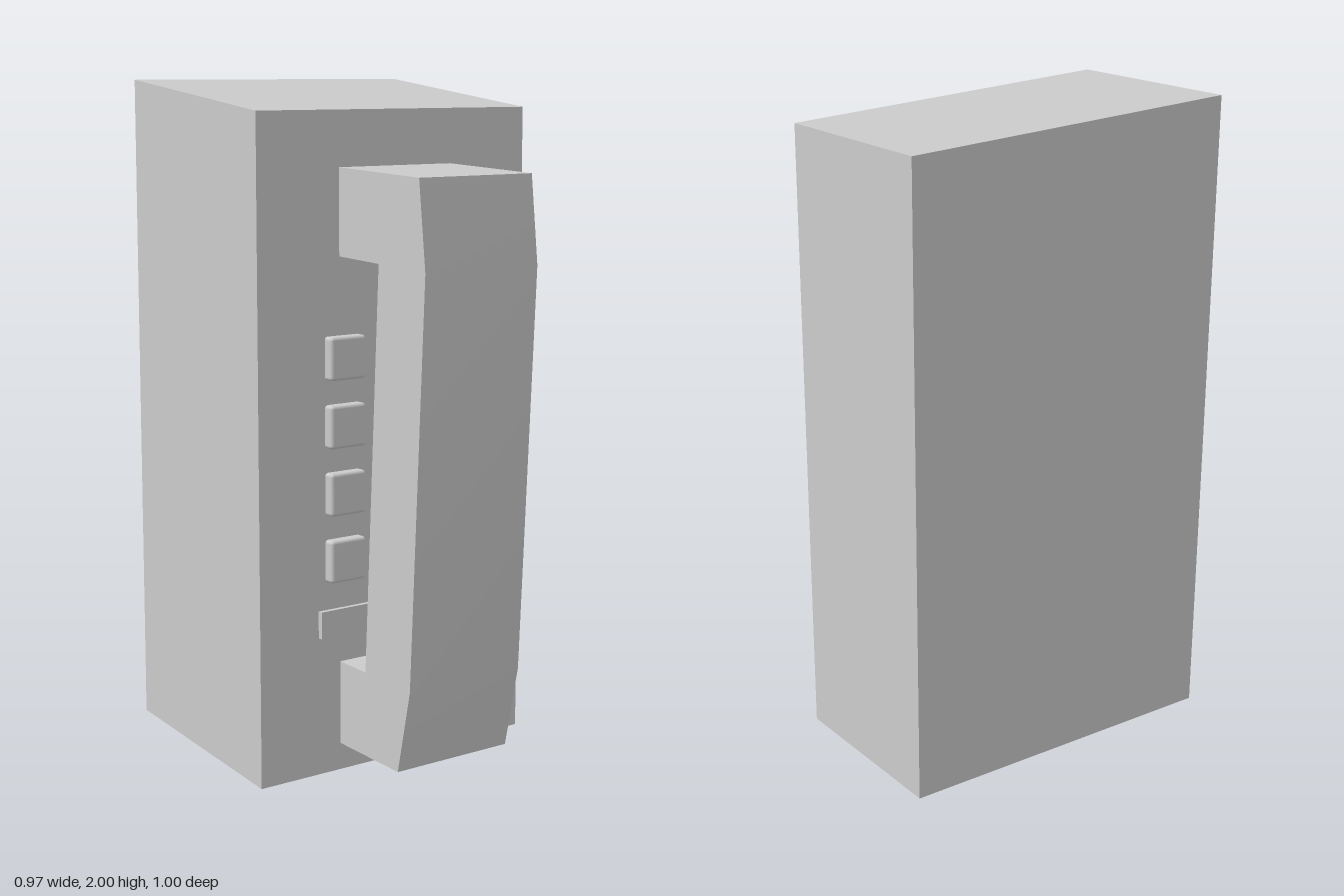
import * as THREE from 'three';
import { toCreasedNormals } from 'three/addons/utils/BufferGeometryUtils.js';
import { RoundedBoxGeometry } from 'three/addons/geometries/RoundedBoxGeometry.js';

const grey = new THREE.MeshStandardMaterial({ color: 0xcccccc });

function addMesh(parent, name, geometry, x = 0, y = 0, z = 0) {
  const mesh = new THREE.Mesh(geometry, grey);
  mesh.name = name;
  mesh.position.set(x, y, z);
  parent.add(mesh);
  return mesh;
}

// Extrudes a side profile of [z, y] points across the width, centred on x = 0
function sideProfile(points, width) {
  const shape = new THREE.Shape(points.map(([z, y]) => new THREE.Vector2(z, y)));
  const geometry = new THREE.ExtrudeGeometry(shape, { depth: width, bevelEnabled: false });
  geometry.translate(0, 0, -width / 2);
  geometry.rotateY(-Math.PI / 2);
  return toCreasedNormals(geometry, 0.35);
}

export function createModel() {
  const phone = new THREE.Group();
  phone.name = 'wallPhone';

  // Housing with slanted top and bottom
  addMesh(phone, 'housing', sideProfile(
    [[0.12, 0], [0.12, 1.92], [-0.5, 2], [-0.5, 0.08]], 0.97));

  // Handset: earpiece and mouthpiece joined by a tapering grip
  addMesh(phone, 'handset', sideProfile([
    [0.12, 1.76], [0.475, 1.745], [0.503, 1.49], [0.443, 0.31], [0.39, 0.065],
    [0.12, 0.08], [0.12, 0.328], [0.24, 0.322], [0.3, 1.502], [0.12, 1.51],
  ], 0.405));

  // Keypad of three columns and four rows
  const keypad = new THREE.Group();
  keypad.name = 'keypad';
  phone.add(keypad);
  const key = new RoundedBoxGeometry(0.125, 0.125, 0.06, 2, 0.01);
  for (let row = 0; row < 4; row++) {
    for (let column = -1; column <= 1; column++) {
      addMesh(keypad, 'key', key, column * 0.192, 0.635 + row * 0.196, 0.122);
    }
  }

  // Flat bar below the keys
  addMesh(phone, 'hookBar', new THREE.BoxGeometry(0.56, 0.08, 0.03), 0, 0.45, 0.12);

  return phone;
}
